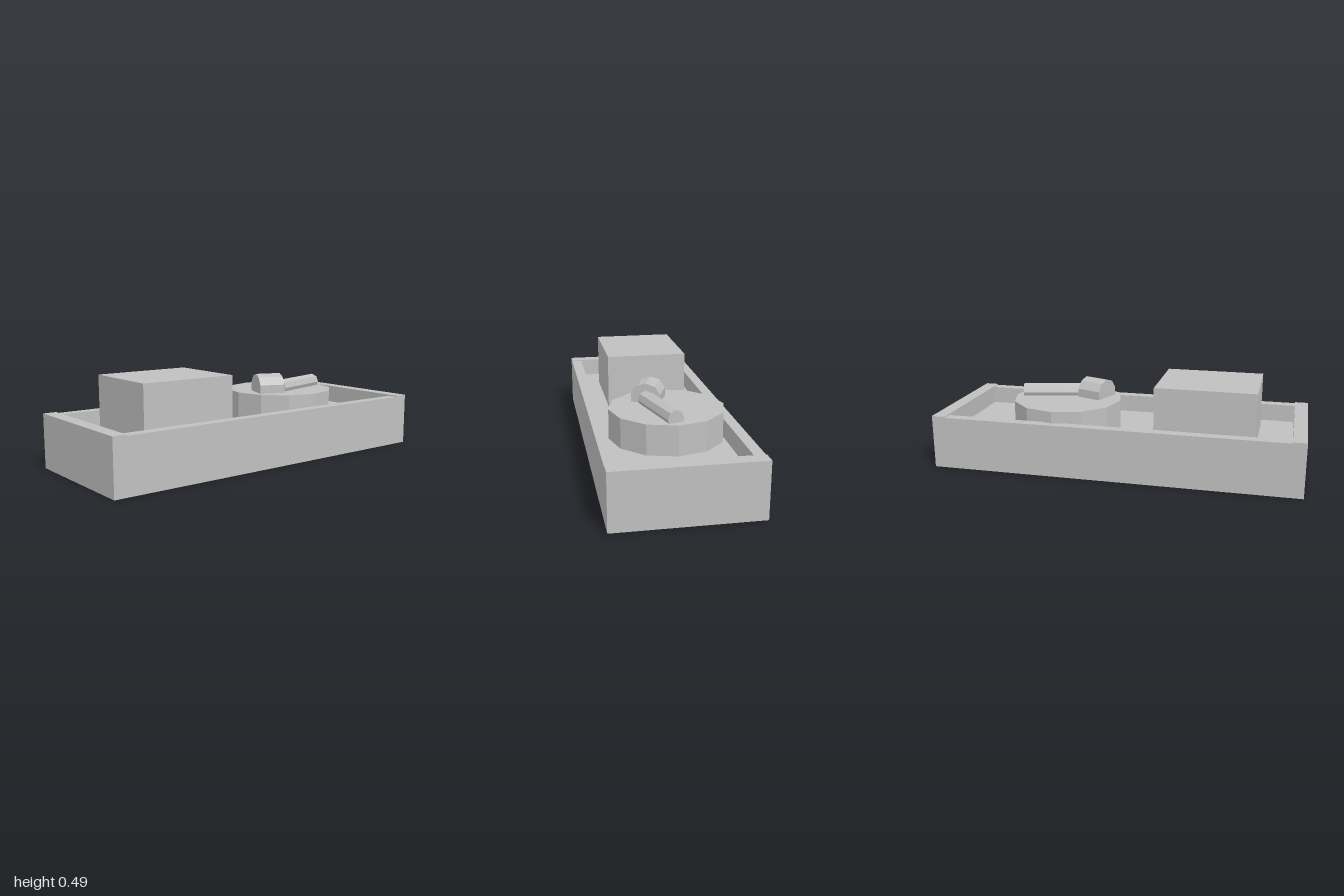
import * as THREE from 'three';

export function createModel() {
  const model = new THREE.Group();
  const grey = new THREE.MeshStandardMaterial({ color: 0xc0c0c0, flatShading: true });
  grey.name = 'plain grey';

  const add = (name, geometry, parent = model) => {
    const mesh = new THREE.Mesh(geometry, grey);
    mesh.name = name;
    parent.add(mesh);
    return mesh;
  };
  // Box given by its lower and upper corners
  const box = (name, [x0, y0, z0], [x1, y1, z1], parent) =>
    add(name, new THREE.BoxGeometry(x1 - x0, y1 - y0, z1 - z0), parent)
      .position.set((x0 + x1) / 2, (y0 + y1) / 2, (z0 + z1) / 2);
  // Lying prism with a vertex on top, running between two points in plan
  const rod = (name, radius, sides, y, [xa, za], [xb, zb], parent) => {
    const dx = xb - xa, dz = zb - za;
    const geometry = new THREE.CylinderGeometry(radius, radius, Math.hypot(dx, dz), sides);
    geometry.rotateX(-Math.PI / 2);
    const mesh = add(name, geometry, parent);
    mesh.position.set((xa + xb) / 2, y, (za + zb) / 2);
    mesh.rotation.y = Math.atan2(dx, dz);
  };

  // Open tray: floor slab, slightly taller end walls, lower long walls
  const tray = new THREE.Group();
  tray.name = 'tray';
  model.add(tray);
  const floor = 0.19;
  box('trayFloor', [-1, 0, -0.372], [1, floor, 0.37], tray);
  box('rightEndWall', [-1, floor, -0.372], [-0.928, 0.293, 0.37], tray);
  box('leftEndWall', [0.925, floor, -0.372], [1, 0.293, 0.37], tray);
  box('backWall', [-0.928, floor, -0.372], [0.925, 0.287, -0.315], tray);
  box('frontWall', [-0.928, floor, 0.31], [0.925, 0.287, 0.37], tray);

  // Block standing in the tray
  box('block', [-0.743, floor, -0.24], [-0.207, 0.49, 0.212]);

  // Twelve-sided round stand
  const standHeight = 0.35 - floor;
  add('roundStand', new THREE.CylinderGeometry(0.305, 0.305, standHeight, 12))
    .position.set(0.327, floor + standHeight / 2, -0.027);

  // Mallet resting partly sunk in the stand
  const mallet = new THREE.Group();
  mallet.name = 'mallet';
  model.add(mallet);
  rod('malletHead', 0.083, 10, 0.371, [0.112, 0.019], [0.246, 0.07], mallet);
  rod('malletHandle', 0.045, 8, 0.37, [0.245, 0.07], [0.592, -0.022], mallet);

  return model;
}
